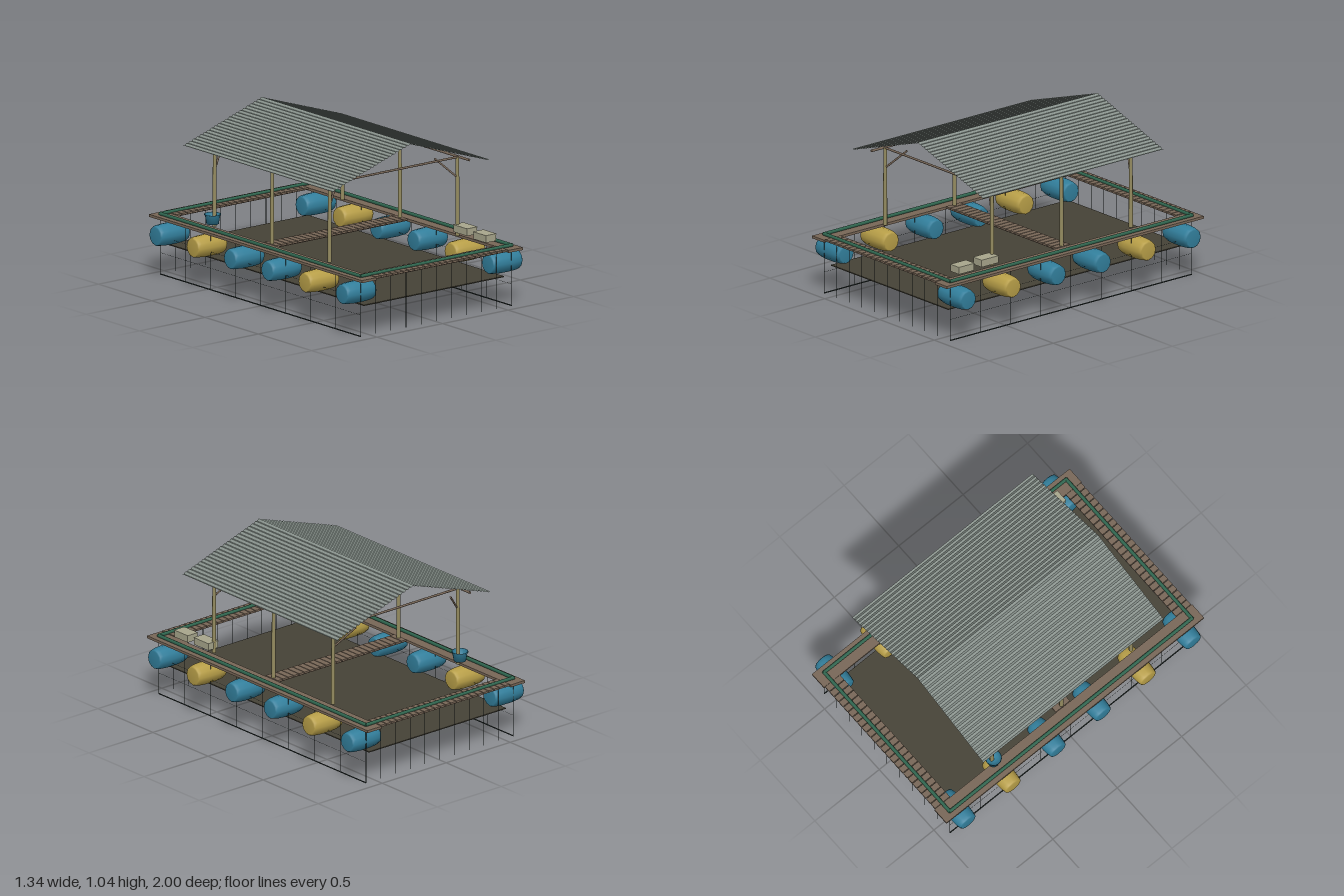
import * as THREE from 'three';

export function createModel() {
  const root = new THREE.Group();
  const mat = (name, color, opts = {}) => {
    const m = new THREE.MeshStandardMaterial({ color, ...opts });
    m.name = name;
    return m;
  };
  const wood = mat('deck wood', 0x786757);
  const bamboo = mat('bamboo', 0x958c60);
  const blue = mat('blue plastic', 0x327f9c, { side: THREE.DoubleSide });
  const yellow = mat('yellow plastic', 0xb89f48);
  const green = mat('green pipe', 0x2f664f);
  const netSheet = mat('net floor', 0x464236);
  const cord = mat('dark cord', 0x2b3634);
  const roofMat = mat('grey roofing', 0x88928c, { side: THREE.DoubleSide, flatShading: true });
  const crateMat = mat('pale crate', 0xa8a68c);

  const add = (name, geo, material, x = 0, y = 0, z = 0) => {
    const m = new THREE.Mesh(geo, material);
    m.name = name;
    m.position.set(x, y, z);
    root.add(m);
    return m;
  };
  const box = (name, material, w, h, d, x, y, z) =>
    add(name, new THREE.BoxGeometry(w, h, d), material, x, y, z);
  // Round bar between two points
  const bar = (name, material, a, b, r0, r1 = r0, sides = 8) => {
    const p = new THREE.Vector3(...a), q = new THREE.Vector3(...b);
    const dir = q.clone().sub(p);
    const m = add(name, new THREE.CylinderGeometry(r1, r0, dir.length(), sides), material);
    m.position.copy(p).add(q).multiplyScalar(0.5);
    m.quaternion.setFromUnitVectors(new THREE.Vector3(0, 1, 0), dir.normalize());
    return m;
  };

  // Deck: long side planks, slatted end walkways and a slatted middle walkway
  for (const s of [-1, 1]) {
    box('sidePlank', wood, 0.11, 0.016, 2, s * 0.56, 0.357, 0);
  }
  const slats = 24, pitch = 1.01 / slats;
  for (const [z, depth] of [[-0.936, 0.116], [0, 0.11], [0.936, 0.116]]) {
    for (let i = 0; i < slats; i++) {
      const x = -0.505 + (i + 0.5) * pitch;
      box('walkwaySlat', wood, pitch - 0.005, 0.012, depth, x, 0.363, z);
    }
    for (const s of [-1, 1]) {
      box('walkwayBearer', wood, 1.01, 0.006, 0.025, 0, 0.355, z + s * 0.035);
    }
  }

  // Green pipe frame around the deck
  for (const s of [-1, 1]) {
    bar('framePipe', green, [s * 0.575, 0.374, -0.945], [s * 0.575, 0.374, 0.945], 0.011);
    bar('framePipe', green, [-0.58, 0.374, s * 0.94], [0.58, 0.374, s * 0.94], 0.011);
  }

  // Barrel floats lying crosswise
  const barrelProfile = [
    [0, -0.1125], [0.052, -0.1125], [0.059, -0.106], [0.064, -0.085], [0.068, -0.04],
    [0.068, 0.04], [0.064, 0.085], [0.059, 0.106], [0.052, 0.1125], [0, 0.1125],
  ].map(([r, y]) => new THREE.Vector2(r, y));
  const barrelGeo = new THREE.LatheGeometry(barrelProfile, 12);
  barrelGeo.rotateZ(Math.PI / 2);
  [-0.875, -0.525, -0.175, 0.175, 0.525, 0.875].forEach((z, i) => {
    for (const s of [-1, 1]) {
      add('barrelFloat', barrelGeo, i === 1 || i === 4 ? yellow : blue, s * 0.5575, 0.264, z);
    }
  });

  // Net floor and hanging cords
  box('netFloor', netSheet, 1.07, 0.006, 1.84, 0, 0.183, 0);
  for (const s of [-1, 1]) {
    for (let i = -5; i <= 5; i++) {
      const x = i * 0.115;
      bar('endCord', cord, [x, 0.003, s * 0.94], [x, 0.36, s * 0.94], 0.0016, 0.0016, 5);
    }
    for (let i = -3; i <= 3; i++) {
      const z = i * 0.235;
      bar('sideCord', cord, [s * 0.575, 0.003, z], [s * 0.575, 0.36, z], 0.0016, 0.0016, 5);
    }
    bar('bottomRope', cord, [s * 0.575, 0.004, -0.94], [s * 0.575, 0.004, 0.94], 0.004, 0.004, 6);
    for (const y of [0.135, 0.235]) {
      bar('sideLine', cord, [s * 0.575, y, -0.94], [s * 0.575, y, 0.94], 0.0008, 0.0008, 4);
    }
  }

  // Shelter posts, beams and slanted braces
  for (const z of [-0.54, 0, 0.54]) {
    for (const s of [-1, 1]) {
      bar('post', bamboo, [s * 0.488, 0.365, z], [s * 0.487, 0.848, z], 0.013, 0.011, 10);
      if (z !== 0) {
        bar('brace', wood, [s * 0.477, 0.73, z], [s * 0.37, 0.842, z - 0.07], 0.006);
      }
    }
    bar('crossBeam', wood, [-0.505, 0.846, z], [0.505, 0.846, z], 0.007);
  }
  for (const s of [-1, 1]) {
    bar('longBeam', wood, [s * 0.497, 0.846, -0.64], [s * 0.497, 0.846, 0.64], 0.008);
  }

  // Corrugated gable roof, waves running along the ridge
  const waves = 22, steps = waves * 4;
  for (const s of [-1, 1]) {
    const geo = new THREE.PlaneGeometry(1, 1.4, steps, 1);
    geo.rotateX(-Math.PI / 2);
    const pos = geo.attributes.position;
    for (let i = 0; i < pos.count; i++) {
      const t = pos.getX(i) + 0.5; // 0..1 from left to right
      const out = s > 0 ? t : 1 - t;
      const wave = 0.0035 * Math.cos(out * waves * 2 * Math.PI);
      pos.setX(i, s * out * 0.6);
      pos.setY(i, 1.039 - out * 0.197 + wave);
    }
    geo.computeVertexNormals();
    add('roofSlope', geo, roofMat);
  }

  // Two crates and a bucket on the deck
  for (const [z, y, d] of [[0.78, 0.406, 0.118], [0.598, 0.412, 0.13]]) {
    box('crate', crateMat, 0.076, 0.042, d, 0.5, y, z);
    box('crateLid', crateMat, 0.08, 0.005, d + 0.004, 0.5, y + 0.0215, z);
  }
  const bucketProfile = [[0, 0.002], [0.037, 0.002], [0.047, 0.062], [0.05, 0.062],
    [0.05, 0.056], [0.046, 0.056]].map(([r, y]) => new THREE.Vector2(r, y));
  add('bucket', new THREE.LatheGeometry(bucketProfile, 16), blue, -0.503, 0.38, -0.54);

  return root;
}
